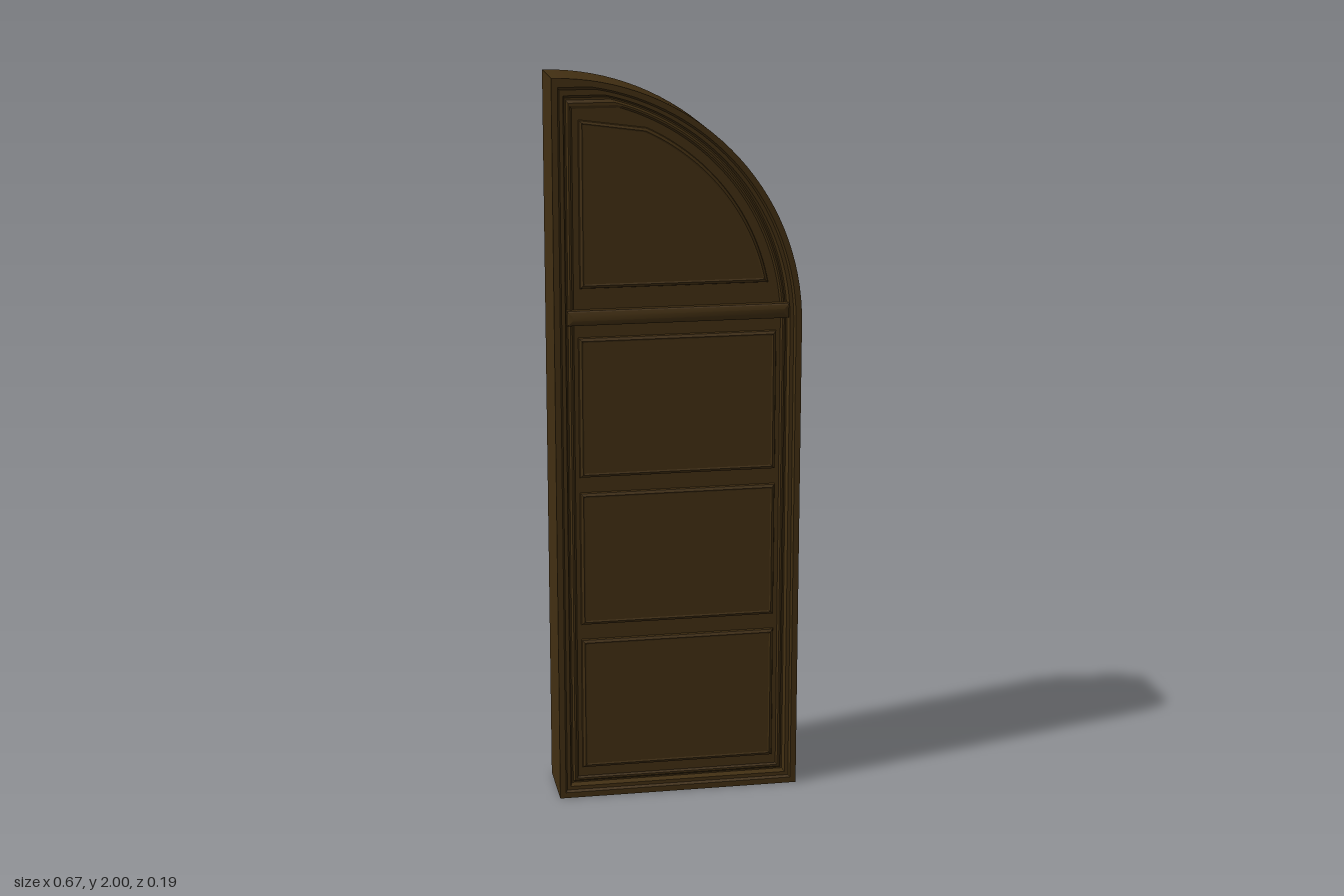
import * as THREE from 'three';
import { toCreasedNormals } from 'three/addons/utils/BufferGeometryUtils.js';

const HALF = 0.335, SPRING = 1.33, RADIUS = 0.67;

// Arc points around the hinge-side centre of the quarter arch
function arc(radius, from, to, steps = 32) {
  return Array.from({ length: steps + 1 }, (_, i) => {
    const a = from + (to - from) * i / steps;
    return [-HALF + radius * Math.cos(a), SPRING + radius * Math.sin(a)];
  });
}

// Door outline inset by s, with a flattened head on the inner mouldings
function doorOutline(s) {
  const r = RADIUS - s, top = 2 - 1.5 * s, left = -HALF + s;
  const end = Math.min(Math.asin(Math.min(1, (top - SPRING) / r)), Math.acos(s / r));
  return [[left, s], [HALF - s, s], ...arc(r, 0, end), [left, top]];
}

// Quarter-arch panel outline inset by s
function archOutline(s) {
  const r = 0.592 - s, bottom = 1.44 + s;
  return [[-0.265 + s, bottom], ...arc(r, Math.asin((bottom - SPRING) / r), 1.13), [-0.265 + s, 1.89 - s]];
}

const rectOutline = (x, y0, y1) => s =>
  [[-x + s, y0 + s], [x - s, y0 + s], [x - s, y1 - s], [-x + s, y1 - s]];

// Solid from outlines: profile lists [inset, z] from the middle to the front; the back mirrors it
function loft(outline, profile) {
  const sections = [...profile.map(([s, z]) => [s, -z]).reverse(), ...profile];
  const pos = [], index = [];
  const n = outline(0).length;
  for (const [s, z] of sections) for (const [x, y] of outline(s)) pos.push(x, y, z);
  for (let k = 0; k < sections.length - 1; k++) {
    for (let i = 0; i < n; i++) {
      const a = k * n + i, b = k * n + (i + 1) % n;
      index.push(a, b, b + n, a, b + n, a + n);
    }
  }
  const last = (sections.length - 1) * n;
  for (let i = 1; i < n - 1; i++) {
    index.push(0, i + 1, i);
    index.push(last, last + i, last + i + 1);
  }
  const g = new THREE.BufferGeometry();
  g.setAttribute('position', new THREE.Float32BufferAttribute(pos, 3));
  g.setIndex(index);
  return toCreasedNormals(g, 0.35);
}

export function createModel() {
  const group = new THREE.Group();
  const wood = new THREE.MeshStandardMaterial({ color: 0x422f12 });
  wood.name = 'dark wood';

  const add = (name, outline, profile) => {
    const mesh = new THREE.Mesh(loft(outline, profile), wood);
    mesh.name = name;
    group.add(mesh);
  };

  // Door leaf with stepped frame moulding and recessed field
  add('doorLeaf', doorOutline, [
    [0, 0.093], [0.016, 0.093], [0.021, 0.086], [0.031, 0.086],
    [0.036, 0.07], [0.04, 0.07], [0.045, 0.076], [0.05, 0.076], [0.055, 0.072],
  ]);

  // Raised panels on both faces
  const raised = [[0, 0.068], [0.003, 0.078], [0.01, 0.082], [0.014, 0.08]];
  [[0.08, 0.46], [0.5, 0.88], [0.92, 1.31]].forEach(([y0, y1], i) =>
    add(`panel${i + 1}`, rectOutline(0.27, y0, y1), raised));
  add('archPanel', archOutline, raised);

  // Projecting rail below the arch
  add('middleRail', rectOutline(0.3, 1.345, 1.385), [[0, 0.065], [0, 0.09], [0.003, 0.093], [0.014, 0.097]]);

  return group;
}
